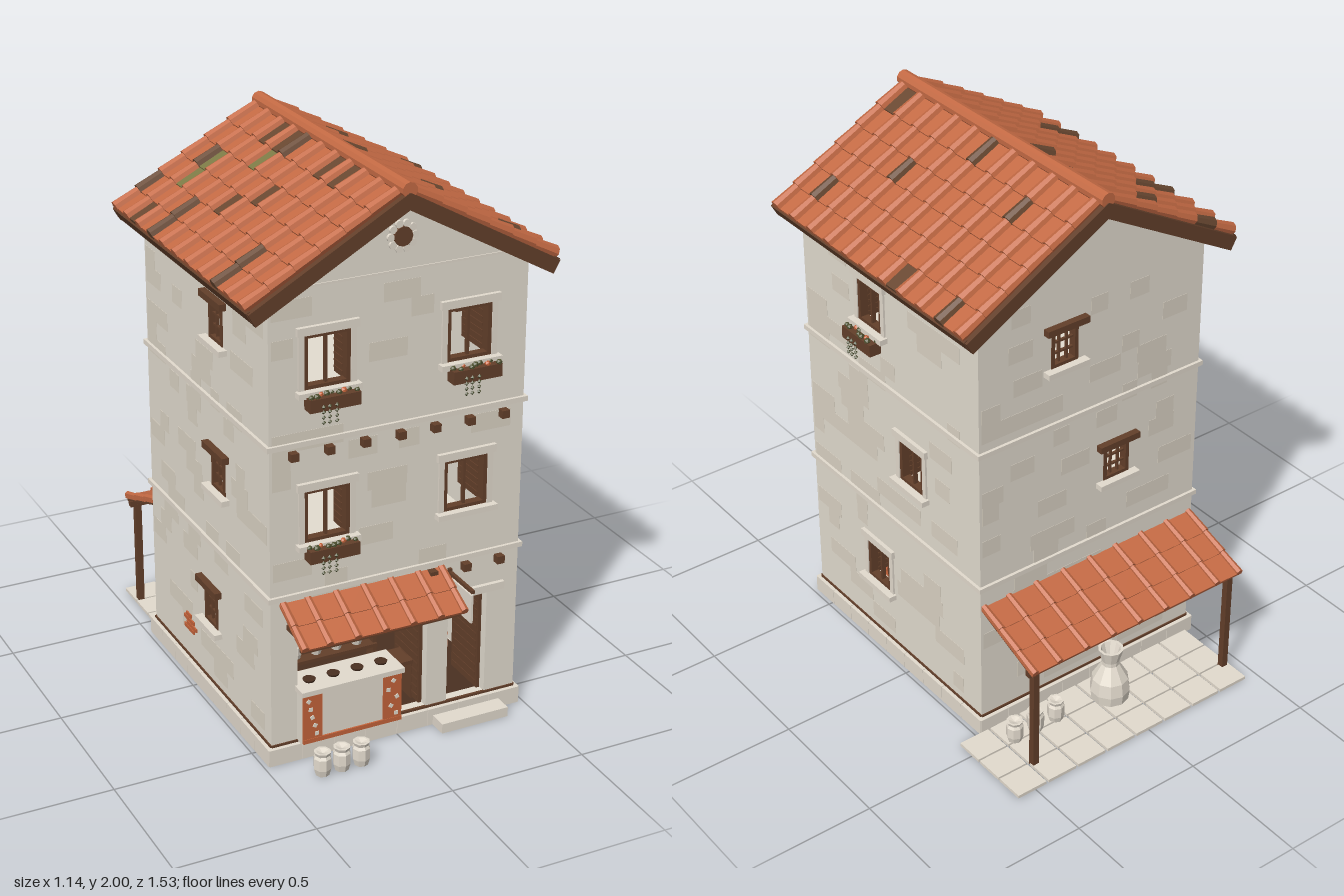
import * as THREE from 'three';

const mat = (name, color) => new THREE.MeshStandardMaterial({ name, color, flatShading: true });

export function createModel() {
  const root = new THREE.Group();
  root.name = 'townhouse';
  const plaster = mat('plaster', 0xe3dccf), shade = mat('weatheredPlaster', 0xdbd3c4), stone = mat('stone', 0xe2dacd);
  const tile = mat('terracotta', 0xc46a44), oldTile = mat('burntTile', 0x694831), moss = mat('mossyTile', 0x7c7a46);
  const wood = mat('darkWood', 0x633f2a), under = mat('underside', 0x4a3021), leaf = mat('leaf', 0x4f5230), clay = mat('clay', 0xc4633a);
  let seed = 7;
  const rnd = () => (seed = (seed * 16807) % 2147483647) / 2147483647;

  const add = (parent, name, geo, m, x = 0, y = 0, z = 0) => {
    const mesh = new THREE.Mesh(geo, m);
    mesh.name = name;
    mesh.position.set(x, y, z);
    parent.add(mesh);
    return mesh;
  };
  const box = (p, name, m, w, h, d, x, y, z) => add(p, name, new THREE.BoxGeometry(w, h, d), m, x, y, z);
  const group = (p, name, x = 0, y = 0, z = 0, ry = 0) => {
    const g = new THREE.Group();
    g.name = name;
    g.position.set(x, y, z);
    g.rotation.y = ry;
    p.add(g);
    return g;
  };
  const lathe = (p, name, m, pts, x, y, z, n = 10) =>
    add(p, name, new THREE.LatheGeometry(pts.map(a => new THREE.Vector2(...a)), n), m, x, y, z);
  const jar = (p, x, y, z, s = 1) => lathe(p, 'jar', stone,
    [[0, 0], [.024, 0], [.031, .025], [.031, .065], [.025, .075], [.03, .088], [.022, .088], [0, .08]].map(([r, h]) => [r * s, h * s]), x, y, z, 8);

  // Wall faces: local x runs along the wall, local z points outward
  const X = .467, ZC = .0875, HZ = .5025, T = .04;
  const front = group(root, 'frontFace', 0, 0, ZC + HZ);
  const back = group(root, 'backFace', 0, 0, ZC - HZ, Math.PI);
  const right = group(root, 'plusXFace', X, 0, ZC, Math.PI / 2);
  const left = group(root, 'minusXFace', -X, 0, ZC, -Math.PI / 2);

  // Openings: [centre, bottom, width, height, style, shutter depth]
  const frontHoles = [[-.262, 1.345, .165, .19, 1, .07], [.252, 1.345, .165, .19, 1, .15], [-.262, .805, .165, .19, 1, .07], [.252, .805, .165, .19, 1, .15],
    [-.125, .07, .49, .43, 0], [.275, .07, .15, .4, 0]];
  const rightHoles = [[-.1025, 1.36, .135, .17, 1, .05], [.1175, .825, .135, .17, 1, .05], [-.1025, .28, .135, .165, 1, .05]];
  const leftHoles = [[.1025, 1.385, .11, .14, 2], [.1025, .845, .11, .135, 2], [.02, .295, .11, .14, 2]];
  const backHoles = [[-.12, 1.385, .11, .14, 2], [.11, .845, .11, .135, 2], [-.085, .295, .11, .14, 2]];

  function wall(face, half, gable, holes) {
    const top = 1.67, shape = new THREE.Shape();
    shape.moveTo(-half, .03).lineTo(half, .03).lineTo(half, top);
    if (gable) shape.lineTo(0, 1.932);
    shape.lineTo(-half, top).closePath();
    for (const [u, y, w, h] of holes) {
      const hole = new THREE.Path();
      hole.moveTo(u - w / 2, y).lineTo(u - w / 2, y + h).lineTo(u + w / 2, y + h).lineTo(u + w / 2, y).closePath();
      shape.holes.push(hole);
    }
    add(face, 'wall', new THREE.ExtrudeGeometry(shape, { depth: T, bevelEnabled: false }), plaster, 0, 0, -T);
    const L = gable ? X : HZ;
    // weathered blocks, almost flush with the wall
    for (let y = .1; y < 1.6; y += .065) for (let u = -L + .01; u < L - .15;) {
      const w = .06 + rnd() * .09;
      const clear = holes.every(([hu, hy, hw, hh]) => Math.abs(hu - u - w / 2) > (hw + w) / 2 + .03 || y > hy + hh + .03 || y + .065 < hy - .03);
      if (rnd() < .35 && clear) box(face, 'wallBlock', shade, w, .065, .002, u + w / 2, y + .0325, 0);
      u += w;
    }
    // plinth stones and string courses
    for (let i = 0, n = gable ? 8 : 9, p = 2 * (L + .015) / n; i < n; i++)
      box(face, 'plinthStone', stone, p - .002, .062, .06, -L - .015 + p * (i + .5), .031, -.013);
    box(face, 'plinthLine', wood, 2 * L, .008, .01, 0, .068, 0);
    for (const y of [.622, 1.165]) box(face, 'stringCourse', stone, 2 * L + .022, .018, .03, 0, y, -.004);
    for (const h of holes) if (h[4]) windowUnit(face, ...h);
  }

  function windowUnit(face, u, y, w, h, style, depth) {
    const g = group(face, 'window', u, y + h / 2, 0);
    const b = .014;
    for (const s of [-1, 1]) {
      box(g, 'frameSide', wood, b, h, .03, s * (w - b) / 2, 0, -.012);
      box(g, 'frameRail', wood, w, b, .03, 0, s * (h - b) / 2, -.012);
    }
    box(g, 'sill', stone, w + .06, .02, .06, 0, -h / 2 - .008, 0);
    if (style === 1) {
      box(g, 'lintel', stone, w + .055, .028, .045, 0, h / 2 + .014, -.008);
      box(g, 'mullion', wood, .009, h, .015, 0, 0, -.012);
      for (const s of [-1, 1]) {
        box(g, 'stoneJamb', stone, .02, h, .03, s * (w / 2 + .01), 0, -.008);
        // shutters folded inward
        const z = -.025 - depth / 2;
        box(g, 'shutter', wood, .01, h - .01, depth, s * (w / 2 - .006), 0, z);
        for (let k = -3; k <= 3; k++) box(g, 'louvre', wood, .014, .008, depth * .85, s * (w / 2 - .007), k * h / 8, z);
      }
    } else {
      box(g, 'lintel', wood, w + .06, .024, .05, 0, h / 2 + .012, 0);
      for (const s of [-1, 1]) {
        box(g, 'latticeBar', wood, .007, h, .01, s * w / 7, 0, -.012);
        box(g, 'latticeBar', wood, w, .007, .01, 0, s * h / 7, -.012);
      }
    }
  }
  wall(front, X, true, frontHoles);
  wall(back, X, true, backHoles);
  wall(right, HZ - T, false, rightHoles);
  wall(left, HZ - T, false, leftHoles);

  // Floors
  box(root, 'baseFloor', under, .9, .06, .97, 0, .032, ZC);
  for (const y of [.622, 1.165, 1.66]) box(root, 'floor', plaster, 2 * X - .06, .02, 2 * HZ - .06, 0, y, ZC);

  // Flower boxes
  function planter(face, u, y, w) {
    const g = group(face, 'flowerBox', u, y, .035);
    box(g, 'trough', wood, w, .045, .045, 0, 0, 0);
    for (let i = 0; i < 9; i++)
      add(g, 'plant', new THREE.IcosahedronGeometry(.008 + rnd() * .005, 0), i % 4 === 2 ? clay : leaf, (i / 8 - .5) * w * .9, .026, (rnd() - .5) * .03);
    for (const x of [-.25, -.13, .01]) for (let k = 0; k < 4; k++)
      add(g, 'trailingLeaf', new THREE.OctahedronGeometry(.008), leaf, x * w, -.005 - k * .018, .026);
  }
  planter(front, -.258, 1.31, .18);
  planter(front, .258, 1.31, .18);
  planter(front, -.258, .775, .18);
  planter(right, -.11, 1.32, .165);

  // Joist ends and gable rosette
  for (let i = -3; i <= 3; i++) {
    box(front, 'joistEnd', wood, .028, .028, .03, i * .129, 1.13, .012);
    if (i > 0) box(front, 'joistEnd', wood, .028, .028, .03, i * .129, .588, .012);
  }
  box(front, 'gableLine', stone, .78, .008, .008, 0, 1.695, 0);
  const disc = r => new THREE.CylinderGeometry(r, r, .014, 12).rotateX(Math.PI / 2);
  for (let i = 0; i < 10; i++) add(front, 'petal', disc(.013), stone, .043 * Math.cos(i * Math.PI / 5), 1.81 + .043 * Math.sin(i * Math.PI / 5), .003);
  add(front, 'rosetteCentre', disc(.033), wood, 0, 1.81, .006);

  // Main roof: each slope runs down its local +x
  const ANG = .51, P = .0995, SL = .635;
  const pan = new THREE.BoxGeometry(P + .012, .014, .088);
  const cover = new THREE.CylinderGeometry(.02, .024, P + .014, 8).rotateZ(Math.PI / 2);
  // odd tiles by "row,course"
  const odd = {
    '1': { pan: { '3,5': oldTile, '9,0': oldTile }, cover: ['1,5', '2,1', '5,0', '7,2', '9,4'] },
    '-1': {
      pan: { '1,5': oldTile, '1,3': moss, '1,2': moss, '3,1': moss, '3,0': oldTile, '4,3': oldTile, '5,2': oldTile, '2,0': oldTile, '6,0': oldTile, '7,0': oldTile },
      cover: ['0,4', '1,2', '3,4', '3,5', '4,0', '8,4', '8,5'] },
  };
  for (const s of [1, -1]) {
    const side = group(root, 'roofSide', 0, 1.962, 0, s > 0 ? 0 : Math.PI);
    const g = group(side, 'roofSlope');
    g.rotation.z = -ANG;
    box(g, 'roofDeck', wood, SL, .022, 1.1, SL / 2, -.011, s * .0825);
    box(g, 'eaveBoard', wood, .015, .04, 1.1, SL - .005, -.014, s * .0825);
    for (const z of [.632, -.467]) box(g, 'bargeBoard', wood, SL, .05, .02, SL / 2, -.022, s * z);
    for (let r = 0; r < 11; r++) {
      box(g, 'rafterEnd', wood, .14, .025, .022, SL - .085, -.034, s * (-.43 + .1025 * r));
      for (let c = 0; c < 6; c++) {
        const x = .028 + P * (c + .5), k = r + ',' + c;
        if (r < 10) add(g, 'panTile', pan, odd[s].pan[k] || tile, x, .008, s * (-.388 + .104 * r)).rotation.z = .06;
        add(g, 'coverTile', cover, odd[s].cover.includes(k) ? oldTile : tile, x, .014, s * (-.44 + .104 * r)).rotation.z = .04;
      }
    }
  }
  add(root, 'ridgeTile', new THREE.CylinderGeometry(.027, .027, 1.115, 10).rotateX(Math.PI / 2), tile, 0, 1.973, .0825);

  // Lean-to tiled roofs: slope falls along the face's outward direction
  function leanTo(face, name, u, w, y0, y1, run, cols, courses) {
    const g = group(face, name, u, y0, 0);
    const a = Math.atan2(y0 - y1, run), len = Math.hypot(run, y0 - y1), p = len / courses, cw = w / cols;
    g.rotation.x = a;
    box(g, 'tileBed', wood, w - .01, .008, len - .01, 0, -.012, len / 2);
    for (let i = 0; i <= cols; i++) for (let j = 0; j < courses; j++) {
      const z = p * (j + .5);
      if (i < cols) box(g, 'panTile', tile, cw - .002, .01, p + .006, (i + .5) * cw - w / 2, -.002, z).rotation.x = -.03;
      const x = Math.max(-w / 2 + .013, Math.min(w / 2 - .013, i * cw - w / 2));
      add(g, 'coverTile', new THREE.CylinderGeometry(.014, .012, p + .006, 6).rotateX(Math.PI / 2), tile, x, .004, z).rotation.x = -.03;
    }
  }
  leanTo(front, 'shopAwning', -.127, .615, .6, .51, .165, 6, 2);
  leanTo(back, 'backPorch', 0, .93, .54, .435, .28, 8, 3);

  // Awning supports and hanging sign
  box(front, 'awningBeam', wood, .59, .02, .02, -.127, .495, .135);
  box(front, 'shopLintel', wood, .55, .025, .05, -.125, .505, -.01);
  for (const x of [-.4, .14]) box(front, 'awningBracket', wood, .018, .018, .16, x, .51, .07);
  box(front, 'signBar', wood, .012, .012, .17, .2, .575, .08);
  box(front, 'signPlate', wood, .012, .09, .012, .2, .545, .006);
  box(front, 'signBoard', stone, .008, .105, .14, .2, .508, .09);

  // Shop counter
  const counter = group(front, 'counter', -.187, 0, 0);
  box(counter, 'counterBody', plaster, .37, .2, .12, 0, .17, -.015);
  for (const x of [-.15, .15]) {
    box(counter, 'paintedPanel', clay, .07, .17, .006, x, .175, .046);
    for (let k = 0; k < 5; k++) box(counter, 'paintedFleck', stone, .014, .014, .004, x + (rnd() - .5) * .045, .11 + k * .032, .05).rotation.z = k;
  }
  box(counter, 'centrePanel', stone, .225, .16, .008, 0, .18, .046);
  box(counter, 'footStrip', clay, .37, .016, .01, 0, .085, .046);
  box(counter, 'counterTop', stone, .385, .018, .14, 0, .272, -.012);
  for (let i = 0; i < 4; i++) add(counter, 'bowl', new THREE.CylinderGeometry(.023, .018, .01, 10), under, -.135 + i * .09, .284, -.01);

  // Shelves with jars, table, hanging goods
  for (const y of [.292, .4]) {
    box(front, 'shelf', wood, .345, .012, .07, -.187, y, -.14);
    for (let i = 0; i < 4; i++) jar(front, -.31 + i * .077, y + .006, -.14, .68);
  }
  for (const x of [-.355, -.02]) box(front, 'shelfPost', wood, .014, .44, .05, x, .28, -.14);
  box(front, 'table', wood, .13, .014, .1, .055, .212, -.12);
  for (const x of [0, .11]) box(front, 'tableLeg', wood, .012, .15, .08, x, .135, -.12);
  for (let i = 0; i < 4; i++) add(front, 'hangingBundle', new THREE.OctahedronGeometry(.012), i % 2 ? clay : leaf, -.02, .45 - .018 * i, -.02);

  // Doors folded inward, door lintel, step
  for (const x of [.207, .343, .113]) {
    box(front, 'doorLeaf', wood, .012, .38, .18, x, .26, -.12);
    for (let k = 0; k < 12; k++) box(front, 'doorSlat', wood, .016, .012, .16, x, .09 + k * .031, -.12);
  }
  box(front, 'doorLintel', stone, .22, .028, .05, .3, .482, -.01);
  box(front, 'doorStep', stone, .26, .036, .085, .27, .018, .042);

  // Amphorae inside the doorway, jars outside the shop
  for (const [x, z, s] of [[.3, -.24, 1], [.325, -.3, .9]]) {
    const g = group(front, 'amphora', x, .065, z);
    g.scale.setScalar(s);
    lathe(g, 'amphoraBody', clay, [[0, 0], [.01, 0], [.016, .02], [.036, .08], [.033, .105], [.013, .125], [.012, .14], [.02, .146], [0, .14]], 0, 0, 0);
    for (const k of [-1, 1]) add(g, 'amphoraHandle', new THREE.TorusGeometry(.016, .004, 5, 8), clay, k * .02, .117, 0);
  }
  for (const x of [-.34, -.268, -.195]) jar(root, x, 0, .718);

  // Exposed bricks on the side wall
  for (let r = 0; r < 4; r++) for (let i = 0; i < 2; i++) if (r + i < 4)
    box(left, 'exposedBrick', clay, .04, .014, .008, -.2 + i * .044 + (r % 2) * .02, .18 + r * .018, .002);

  // Back yard: posts, beam, paving, kiln pot, jars
  for (const x of [-.43, .43]) box(root, 'porchPost', wood, .024, .41, .024, x, .21, -.665);
  box(root, 'porchBeam', wood, .92, .022, .022, 0, .418, -.665);
  for (let i = 0; i < 8; i++) for (let j = 0; j < 3; j++)
    box(root, 'pavingSlab', stone, .119, .012, .106, -.391 + i * .1292, .006, -.712 + j * .113);
  lathe(root, 'kilnPot', stone, [[0, 0], [.068, 0], [.073, .04], [.066, .09], [.032, .15], [.032, .165], [.046, .216], [.036, .216], [.02, .17], [0, .17]], 0, .01, -.547, 10);
  for (const x of [.41, .32, .23]) jar(root, x, .01, -.53);

  return root;
}
